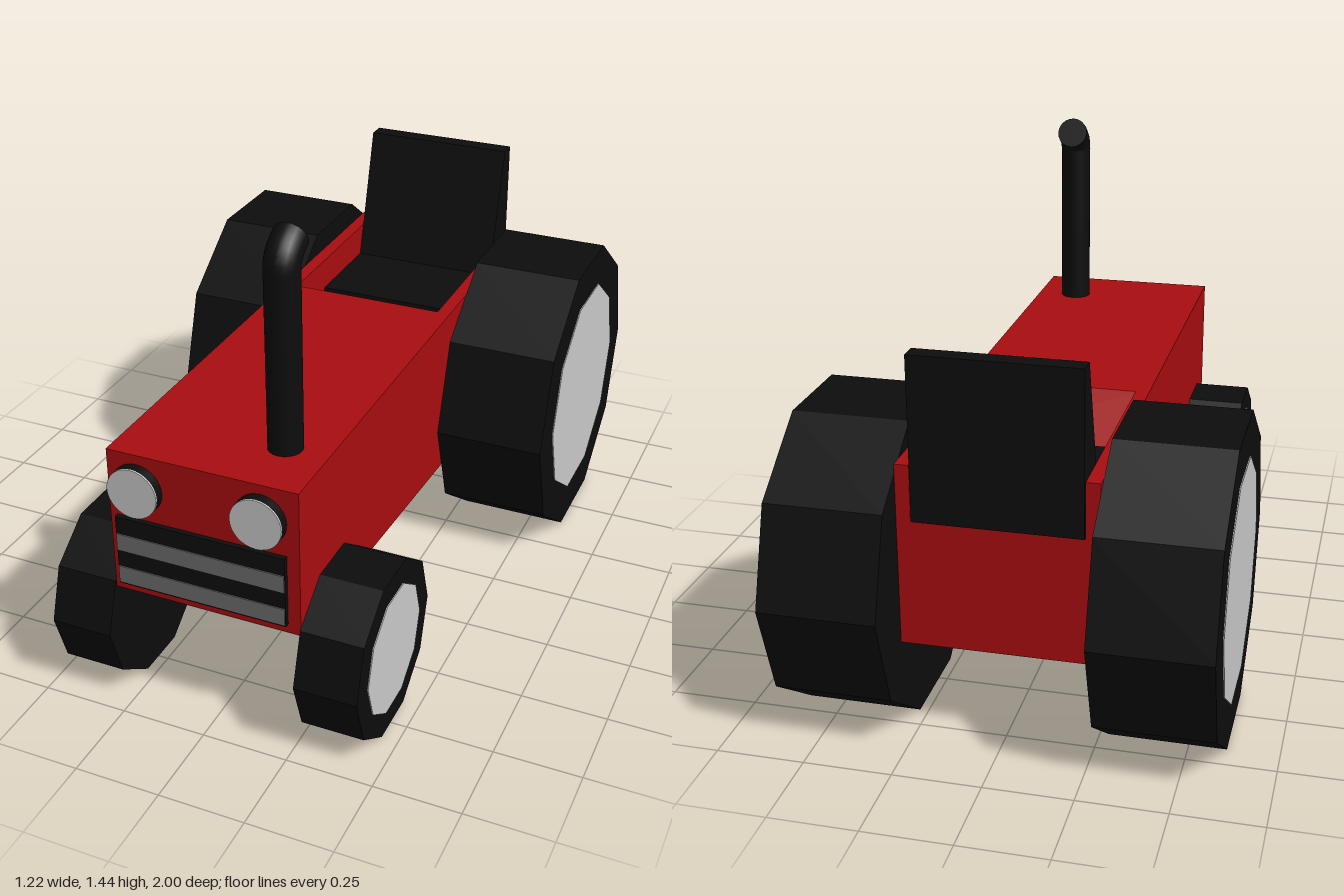
import * as THREE from 'three';

const mat = (name, color, opts = {}) => {
  const m = new THREE.MeshStandardMaterial({ color, ...opts });
  m.name = name;
  return m;
};

export function createModel() {
  const red = mat('red paint', 0xaa0d10);
  const black = mat('black rubber', 0x0d0d0d);
  const tyreBlack = black.clone();
  tyreBlack.flatShading = true;
  const light = mat('light grey', 0xcccccc);
  const grey = mat('grille grey', 0x6e6e6e);

  const tractor = new THREE.Group();
  tractor.name = 'tractor';

  const add = (name, geometry, material, x = 0, y = 0, z = 0, parent = tractor) => {
    const mesh = new THREE.Mesh(geometry, material);
    mesh.name = name;
    mesh.position.set(x, y, z);
    parent.add(mesh);
    return mesh;
  };

  // Extrudes a side profile of [z, y] points across the width, centred on x = 0
  const sideExtrude = (points, width) => {
    const shape = new THREE.Shape(points.map(([z, y]) => new THREE.Vector2(z, y)));
    const geo = new THREE.ExtrudeGeometry(shape, { depth: width, bevelEnabled: false });
    return geo.translate(0, 0, -width / 2).rotateY(-Math.PI / 2);
  };

  // Body: centre with a sunken seat well, closed in by a full-height panel each side
  const underside = [[-0.81, 0.295], [-0.26, 0.295], [0.945, 0.385], [0.945, 0.82]];
  add('bodyCentre', sideExtrude(
    [...underside, [-0.145, 0.82], [-0.26, 0.66], [-0.81, 0.66]], 0.47), red);
  for (const side of [-1, 1]) {
    add('bodySidePanel', sideExtrude([...underside, [-0.81, 0.82]], 0.04), red, side * 0.255);
  }

  // Seat: cushion and tapered backrest in one profile
  add('seat', sideExtrude([
    [-0.813, 0.66], [-0.35, 0.66], [-0.35, 0.725], [-0.65, 0.725],
    [-0.76, 1.125], [-0.813, 1.125],
  ], 0.466), black);

  // Wheels: ten-sided tyres with a flat hub on the outside
  const addWheel = (name, side, radius, hubRadius, width, y, z) => {
    const wheel = new THREE.Group();
    wheel.name = name;
    wheel.position.set(side * (0.275 + width / 2), y, z);
    tractor.add(wheel);
    const disc = (r, w) => new THREE.CylinderGeometry(r, r, w, 10).rotateZ(Math.PI / 2);
    add('tyre', disc(radius, width), tyreBlack, 0, 0, 0, wheel);
    add('hub', disc(hubRadius, 0.006), light, side * width / 2, 0, 0, wheel);
  };
  for (const side of [-1, 1]) {
    addWheel('rearWheel', side, 0.467, 0.342, 0.33, 0.445, -0.533);
    addWheel('frontWheel', side, 0.257, 0.187, 0.18, 0.253, 0.743);
  }

  // Headlights
  for (const side of [-1, 1]) {
    const x = side * 0.178 - 0.01;
    add('headlightHousing', new THREE.CylinderGeometry(0.073, 0.073, 0.03, 32).rotateX(Math.PI / 2),
      black, x, 0.72, 0.957);
    add('headlightLens', new THREE.CylinderGeometry(0.073, 0.073, 0.005, 32).rotateX(Math.PI / 2),
      light, x, 0.72, 0.9745);
  }

  // Grille
  add('grille', new THREE.BoxGeometry(0.494, 0.212, 0.02), black, -0.008, 0.518, 0.949);
  for (const y of [0.443, 0.546]) {
    add('grilleBar', new THREE.BoxGeometry(0.49, 0.052, 0.005), grey, -0.008, y, 0.96);
  }

  // Exhaust: upright pipe with a tip bent backwards
  const pipe = new THREE.CurvePath();
  const v = (y, z) => new THREE.Vector3(0.15, y, z);
  pipe.add(new THREE.LineCurve3(v(0.8, 0.755), v(1.33, 0.755)));
  pipe.add(new THREE.QuadraticBezierCurve3(v(1.33, 0.755), v(1.368, 0.755), v(1.394, 0.7)));
  add('exhaustPipe', new THREE.TubeGeometry(pipe, 48, 0.048, 20), black);
  const tip = add('exhaustTip', new THREE.CircleGeometry(0.048, 20), black, 0.15, 1.394, 0.7);
  tip.lookAt(0.15, 1.394 + 0.026, 0.7 - 0.055);

  return tractor;
}
